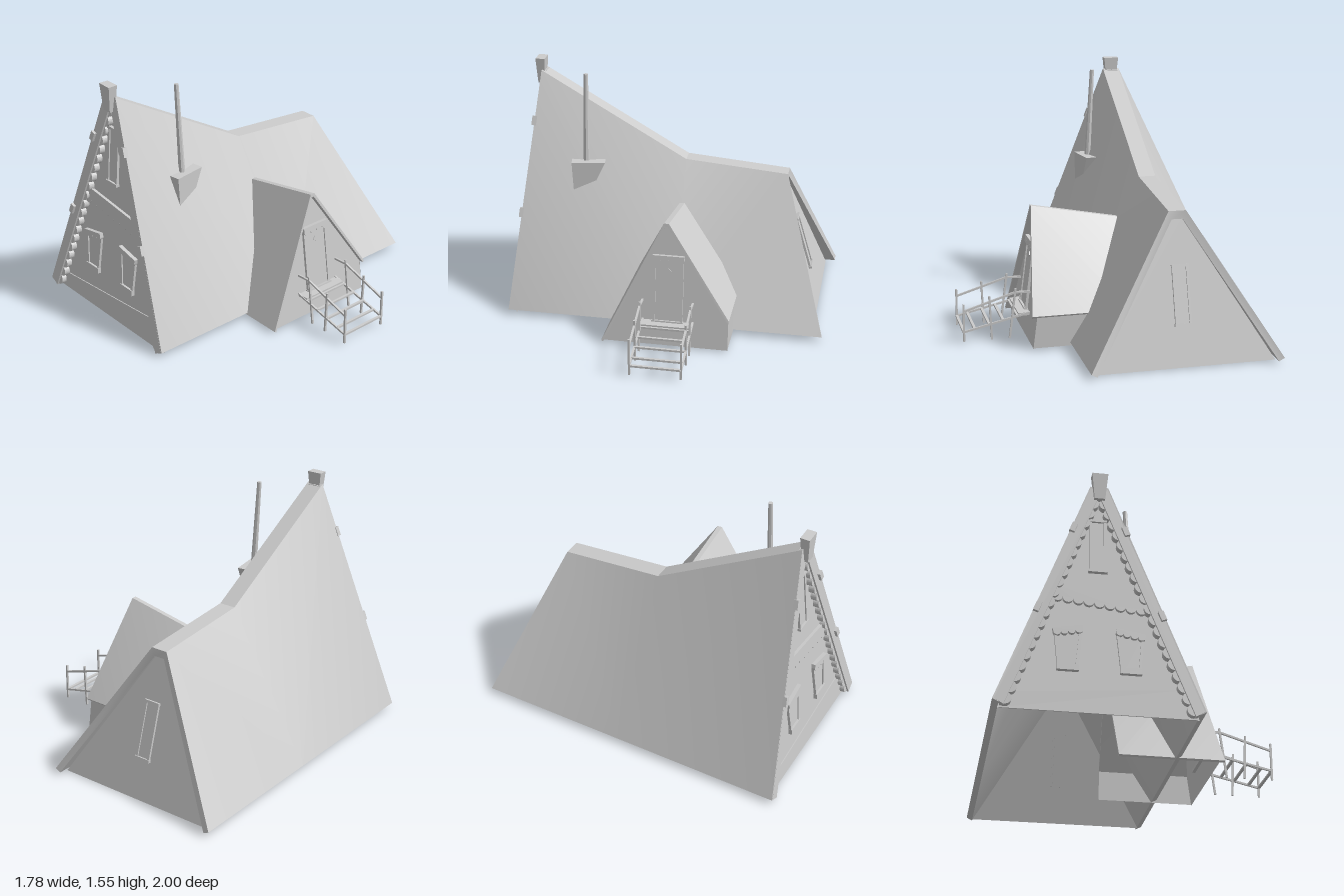
import * as THREE from 'three';
import { toCreasedNormals } from 'three/addons/utils/BufferGeometryUtils.js';

const mat = new THREE.MeshStandardMaterial({ color: 0xcccccc, flatShading: true });
const thin = new THREE.MeshStandardMaterial({ color: 0xcccccc, flatShading: true, side: THREE.DoubleSide });
const smooth = new THREE.MeshStandardMaterial({ color: 0xcccccc });

function add(parent, name, geometry, x = 0, y = 0, z = 0, material = mat) {
  const m = new THREE.Mesh(geometry, material);
  m.name = name;
  m.position.set(x, y, z);
  parent.add(m);
  return m;
}

function group(parent, name, x, y, z, yaw = 0, lean = 0) {
  const g = new THREE.Group();
  g.name = name;
  g.position.set(x, y, z);
  g.rotation.set(lean, yaw, 0, 'YXZ');
  parent.add(g);
  return g;
}

const box = (parent, name, w, h, d, x, y, z) => add(parent, name, new THREE.BoxGeometry(w, h, d), x, y, z);

const outline = pts => new THREE.Shape(pts.map(p => new THREE.Vector2(...p)));
const wall = (parent, name, pts, z = 0) => add(parent, name, new THREE.ShapeGeometry(outline(pts)), 0, 0, z, thin);
const slab = (pts, depth) => new THREE.ExtrudeGeometry(outline(pts), { depth, bevelEnabled: false });

// Square bar between two points
function bar(parent, name, a, b, t) {
  const from = new THREE.Vector3(...a), to = new THREE.Vector3(...b);
  const dir = to.clone().sub(from), mid = from.clone().add(to).multiplyScalar(0.5);
  const m = box(parent, name, t, dir.length(), t, mid.x, mid.y, mid.z);
  m.quaternion.setFromUnitVectors(new THREE.Vector3(0, 1, 0), dir.normalize());
  return m;
}

// Thick folded roof: each section lists outer points left to right, then inner points left to right.
// Each slope folds along a line from the second section's eave up to the neighbouring ridge end.
function roofShell(sections) {
  const n = sections[0].outer.length, size = 2 * n, idx = [];
  const pos = sections.flatMap(s => [...s.outer, ...[...s.inner].reverse()].flat());
  const at = (s, i) => s * size + (i % size);
  const quad = (a, b, c, d) => idx.push(a, b, c, a, c, d);
  const last = sections.length - 1;
  for (let s = 0; s < last; s++)
    for (let i = 0; i < size; i++) {
      const corners = [at(s, i), at(s, i + 1), at(s + 1, i + 1), at(s + 1, i)];
      const hub = (s === 0 ? i + 1 : i) % n;
      if (hub !== 0 && hub !== n - 1) corners.push(corners.shift());
      quad(...corners);
    }
  for (let i = 0; i < n - 1; i++) {
    const j = size - 1 - i;
    quad(at(0, i), at(0, j), at(0, j - 1), at(0, i + 1));
    quad(at(last, i), at(last, i + 1), at(last, j - 1), at(last, j));
  }
  const g = new THREE.BufferGeometry();
  g.setAttribute('position', new THREE.Float32BufferAttribute(pos, 3));
  g.setIndex(idx);
  return toCreasedNormals(g, 0.4);
}

// Board running from a to b with n half-round scallops along its lower edge
function scallops(parent, name, a, b, n, height, depth, z) {
  const len = Math.hypot(b[0] - a[0], b[1] - a[1]), r = len / n / 2;
  const s = new THREE.Shape();
  s.moveTo(0, height);
  s.lineTo(0, 0);
  for (let i = 0; i < n; i++) s.absarc((2 * i + 1) * r, 0, r, Math.PI, 2 * Math.PI, false);
  s.lineTo(len, height);
  const g = new THREE.ExtrudeGeometry(s, { depth, bevelEnabled: false, curveSegments: 6 });
  const m = add(parent, name, g, a[0], a[1], z);
  m.rotation.z = Math.atan2(b[1] - a[1], b[0] - a[0]);
  return m;
}

// Window or door frame standing on its sill at local y = 0
function frame(parent, name, x, y, z, w, h, { taper = 0, sill = 0.016, awning = 0, tilt = 0 } = {}) {
  const g = group(parent, name, x, y, z);
  const e = w / 2 - 0.004, f = e - taper;
  add(g, 'panel', slab([[-f, 0], [f, 0], [e, h], [-e, h]], 0.012), 0, 0, -0.006);
  for (const s of [-1, 1]) {
    bar(g, 'jamb', [s * (w / 2 - taper), 0, 0.006], [s * w / 2, h, 0.006], 0.016);
  }
  box(g, 'sill', w - 2 * taper + 0.025, sill, 0.028, 0, sill / 2, 0.006);
  if (awning) {
    const a = w / 2 + 0.012;
    scallops(g, 'awning', [-a, h - tilt], [a, h + tilt], awning, 0.025, 0.025, 0);
  } else box(g, 'lintel', w + 0.02, 0.016, 0.025, 0, h, 0.006);
  return g;
}

export function createModel() {
  const house = new THREE.Group();
  house.name = 'house';
  const cx = -0.31;

  // Main roof: sagging ridge, straight eaves
  const section = (zEave, zRidge, y) => ({
    outer: [[cx - 0.58, 0.03, zEave], [cx - 0.053, y, zRidge], [cx + 0.053, y, zRidge], [cx + 0.58, 0.03, zEave]],
    inner: [[cx - 0.545, 0.012, zEave], [cx - 0.033, y - 0.05, zRidge], [cx + 0.033, y - 0.05, zRidge], [cx + 0.545, 0.012, zEave]],
  });
  add(house, 'mainRoof', roofShell([section(0.997, 0.868, 1.47), section(-0.06, -0.06, 0.935), section(-1, -0.71, 0.88)]),
    0, 0, 0, smooth);

  // Front gable, leaning back with the roof edge
  const front = group(house, 'frontGable', cx, 0, 0.997, 0, -0.09);
  wall(front, 'frontWall', [[-0.55, 0], [0.55, 0], [0.035, 1.42], [-0.035, 1.42]], -0.045);
  add(front, 'foundation', slab([[-0.54, 0], [0.54, 0], [0.47, 0.18], [-0.5, 0.1]], 0.006), 0, 0, -0.045);
  for (const s of [-1, 1]) {
    const board = [[-0.57, 0.03], [-0.52, 0], [0, 1.42], [0, 1.47], [-0.05, 1.465]];
    add(front, 'bargeBoard', slab(board.map(([x, y]) => [-s * x, y]), 0.023), 0, 0, -0.02);
    scallops(front, 'bargeScallops', s < 0 ? [-0.525, 0.01] : [0.025, 1.4], s < 0 ? [-0.025, 1.4] : [0.525, 0.01],
      20, 0.015, 0.042, -0.05);
    for (const [x, y] of [[0.152, 1.17], [0.35, 0.615]]) {
      box(front, 'bargeBlock', 0.032, 0.06, 0.03, s * x, y, 0.005).rotation.z = s * 0.35;
    }
    frame(front, 'lowerWindow', s * 0.175, 0.25, -0.042, 0.14, 0.245,
      { taper: 0.022, sill: 0.035, awning: 4, tilt: -s * 0.015 });
  }
  scallops(front, 'beltBoard', [-0.265, 0.725], [0.27, 0.665], 9, 0.075, 0.024, -0.05);
  frame(front, 'atticWindow', -0.005, 0.9, -0.042, 0.085, 0.355);

  // Tapered ridge finial
  const finial = add(house, 'finial', new THREE.CylinderGeometry(0.067, 0.044, 0.165, 4, 1, false, Math.PI / 4), cx, 1.46, 0.878);
  finial.scale.z = 0.62;

  // Back gable
  const back = group(house, 'backGable', cx, 0, -0.937, Math.PI, -0.29);
  wall(back, 'backWall', [[-0.545, 0], [0.545, 0], [0.033, 0.87], [-0.033, 0.87]]);
  frame(back, 'backWindow', 0, 0.24, 0, 0.085, 0.35);

  // Chimney: wedge-shaped base and crooked pipe
  const baseShape = slab([[0.105, 0.96], [-0.105, 0.96], [0.03, 0.68], [0.09, 0.68]], 0.072).translate(0, 0, -0.036);
  add(house, 'chimneyBase', baseShape, -0.055, 0, 0.527).rotation.y = 0.165 - Math.PI / 2;
  const pipe = add(house, 'chimneyPipe', new THREE.CylinderGeometry(0.014, 0.02, 0.575, 8), -0.087, 1.23, 0.543);
  pipe.rotation.z = 0.055;

  // Side porch roof, ridge rising outwards, one eave cut short, running deep into the main roof
  add(house, 'porchRoof', roofShell([
    {
      outer: [[0.53, 0.02, 0.33], [0.43, 0.795, -0.045], [0.43, 0.795, -0.075], [0.5, 0.21, -0.455]],
      inner: [[0.53, 0.012, 0.318], [0.432, 0.775, -0.052], [0.432, 0.775, -0.068], [0.503, 0.197, -0.446]],
    },
    {
      outer: [[-0.1, 0.02, 0.33], [-0.125, 0.69, -0.045], [-0.125, 0.69, -0.075], [-0.1, 0.21, -0.455]],
      inner: [[-0.1, 0.012, 0.318], [-0.125, 0.67, -0.052], [-0.125, 0.67, -0.068], [-0.1, 0.197, -0.446]],
    },
  ]), 0, 0, 0, smooth);
  wall(house, 'porchSideWall', [[-0.1, 0.01], [0.495, 0.01], [0.47, 0.205], [-0.1, 0.205]], -0.448);

  // Porch front with door
  const porch = group(house, 'porchFront', 0.53, 0, -0.06, Math.PI / 2, -0.13);
  wall(porch, 'porchWall', [[-0.382, 0.01], [0.388, 0.01], [0.388, 0.205], [0.01, 0.788], [-0.01, 0.788]], -0.035);
  const door = frame(porch, 'door', 0.015, 0.16, -0.03, 0.17, 0.41, { awning: 4 });
  box(door, 'doorWindow', 0.025, 0.025, 0.016, 0, 0.335, 0.003).rotation.z = Math.PI / 4;

  // Landing, steps and railings
  const stairs = group(house, 'stairs', 0, 0, 0);
  box(stairs, 'landing', 0.09, 0.018, 0.31, 0.5, 0.155, -0.075);
  for (const [x, y] of [[0.55, 0.148], [0.64, 0.128], [0.725, 0.108], [0.815, 0.086], [0.88, 0.07]]) {
    box(stairs, 'step', 0.016, 0.012, 0.31, x, y, -0.075);
  }
  for (const z of [0.08, -0.23]) {
    bar(stairs, 'post', [0.6, 0.01, z], [0.56, 0.325, z], 0.012);
    bar(stairs, 'post', [0.71, 0.01, z], [0.722, 0.285, z], 0.012);
    bar(stairs, 'post', [0.88, 0.01, z], [0.88, 0.245, z], 0.012);
    bar(stairs, 'handrail', [0.47, 0.295, z], [0.56, 0.3, z], 0.012);
    bar(stairs, 'handrail', [0.56, 0.3, z], [0.88, 0.2, z], 0.012);
    bar(stairs, 'stringer', [0.47, 0.165, z], [0.88, 0.07, z], 0.012);
  }
  return house;
}
